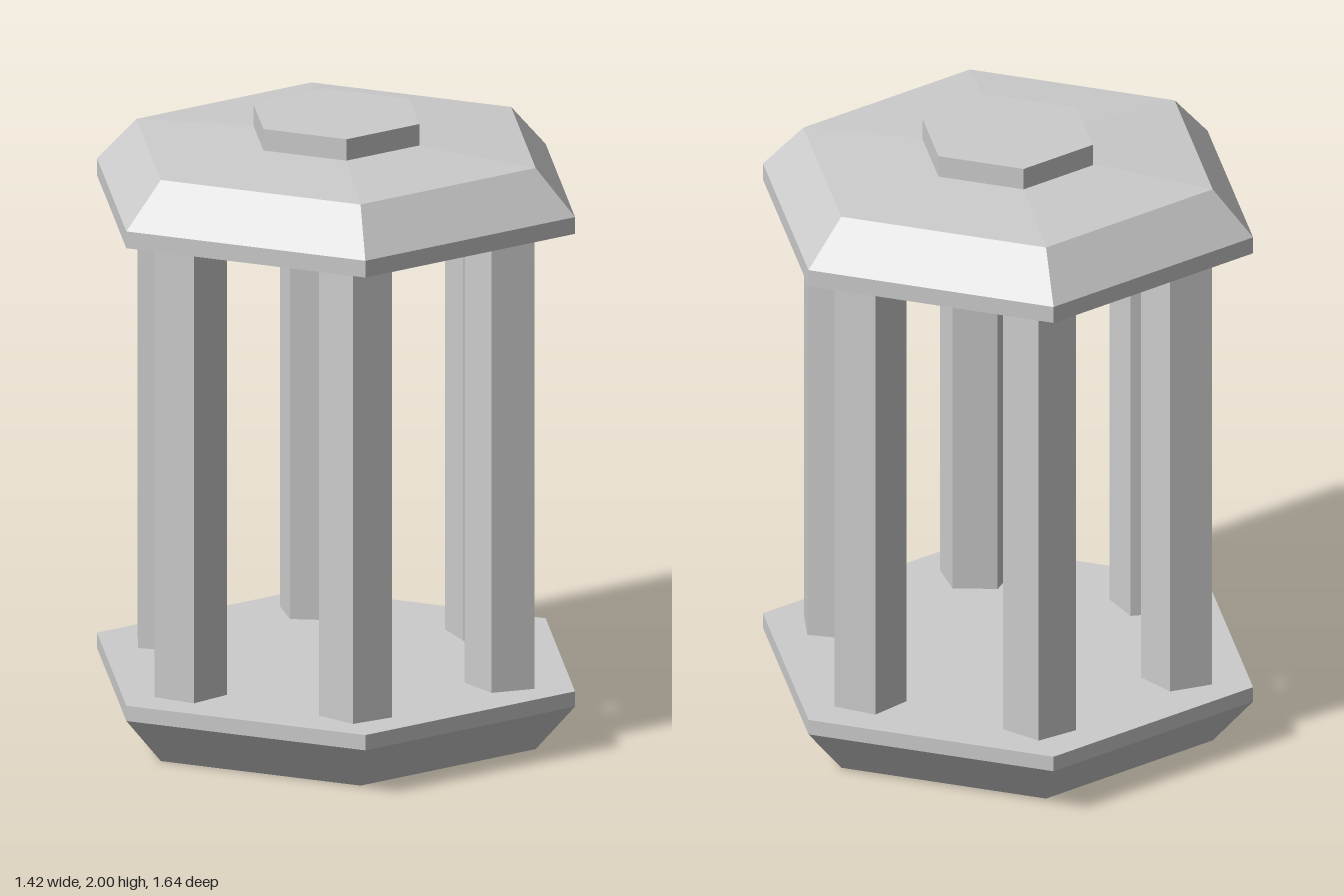
import * as THREE from 'three';

const material = new THREE.MeshStandardMaterial({ color: 0xcccccc, flatShading: true });

function addPart(parent, name, geometry) {
  const flat = geometry.toNonIndexed();
  flat.computeVertexNormals();
  const mesh = new THREE.Mesh(flat, material);
  mesh.name = name;
  parent.add(mesh);
  return mesh;
}

// Closed six-sided solid from a [radius, height] profile, bottom to top
function hexSolid(profile) {
  return new THREE.LatheGeometry(profile.map(([r, y]) => new THREE.Vector2(r, y)), 6);
}

export function createModel() {
  const model = new THREE.Group();
  model.name = 'lantern';

  // Base plate, bevelled underneath
  addPart(model, 'base', hexSolid([[0, 0], [0.685, 0], [0.82, 0.155], [0.82, 0.205], [0, 0.205]]));

  // Roof with a thin rim, bevel and shallow slope
  addPart(model, 'roof', hexSolid([[0, 1.705], [0.82, 1.705], [0.82, 1.76], [0.685, 1.905], [0.285, 1.93], [0, 1.93]]));

  // Cap on top of the roof
  const cap = addPart(model, 'cap', hexSolid([[0, 1.91], [0.285, 1.91], [0.285, 2], [0, 2]]));
  cap.position.set(-0.005, 0, -0.005);

  // Ring of six pentagonal pillars, one below each roof corner
  const pillarGeometry = new THREE.CylinderGeometry(0.121, 0.121, 1.5, 5, 1, false, THREE.MathUtils.degToRad(-12));
  pillarGeometry.translate(0, 0.955, 0.573);
  for (let i = 0; i < 6; i++) {
    const pillar = addPart(model, 'pillar', pillarGeometry);
    pillar.rotation.y = i * Math.PI / 3;
  }

  return model;
}
